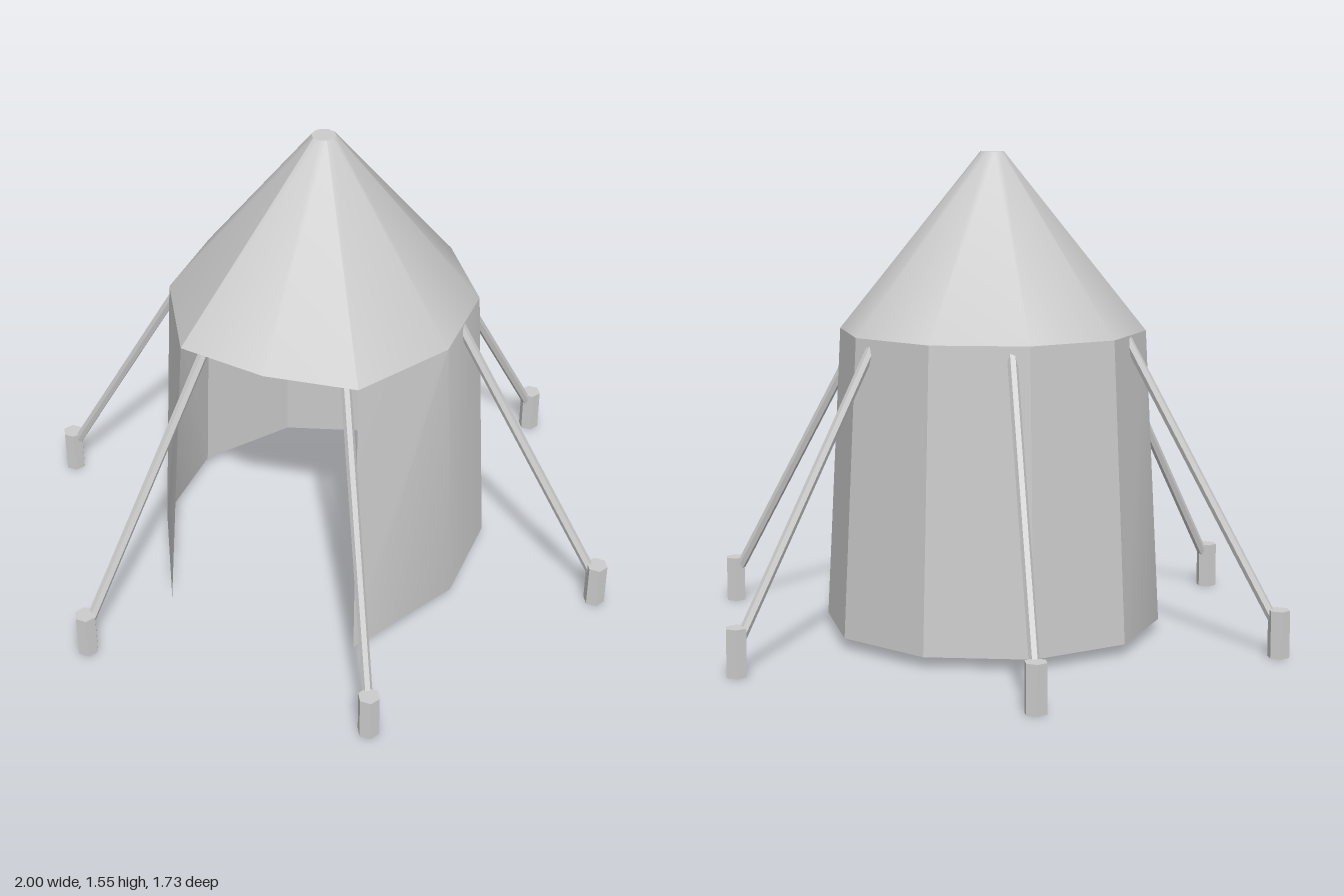
import * as THREE from 'three';
import { toCreasedNormals } from 'three/addons/utils/BufferGeometryUtils.js';

const canvas = new THREE.MeshStandardMaterial({ color: 0xcccccc, side: THREE.DoubleSide });
const solid = new THREE.MeshStandardMaterial({ color: 0xcccccc, flatShading: true });

// Ten-sided ring of points, starting at the front and running by +x to the back.
// The front corners are pulled forward to form the doorway.
function ring(radius, y, cornerZ, frontZ) {
  return Array.from({ length: 10 }, (_, i) => {
    const a = i * Math.PI / 5;
    const p = new THREE.Vector3(radius * Math.sin(a), y, radius * Math.cos(a));
    if (i === 1 || i === 9) p.z = cornerZ ?? p.z;
    if (i === 0) p.z = frontZ ?? p.z;
    return p;
  });
}

// Panels between two rings, over the sides from first up to last
function panels(lower, upper, first, last) {
  const pos = [];
  for (let side = first; side < last; side++) {
    const i = side % 10;
    const j = (side + 1) % 10;
    for (const p of [lower[i], lower[j], upper[j], lower[i], upper[j], upper[i]]) pos.push(p.x, p.y, p.z);
  }
  const geometry = new THREE.BufferGeometry();
  geometry.setAttribute('position', new THREE.Float32BufferAttribute(pos, 3));
  return toCreasedNormals(geometry, Math.PI / 6);
}

function addMesh(parent, name, geometry, material) {
  const mesh = new THREE.Mesh(geometry, material);
  mesh.name = name;
  parent.add(mesh);
  return mesh;
}

// Straight six-sided pole between two points
function addPole(parent, from, to) {
  const dir = to.clone().sub(from);
  const pole = addMesh(parent, 'guyPole', new THREE.CylinderGeometry(0.016, 0.016, dir.length(), 6), solid);
  pole.position.copy(from).add(to).multiplyScalar(0.5);
  pole.quaternion.setFromUnitVectors(new THREE.Vector3(0, 1, 0), dir.normalize());
}

export function createModel() {
  const model = new THREE.Group();
  model.name = 'tent';

  const base = ring(0.545, 0.035, 0.545);
  const eaves = ring(0.495, 0.985, 0.45, 0.49);
  const peak = ring(0.038, 1.555);

  // Walls leave the two front sides open as the doorway
  addMesh(model, 'walls', panels(base, eaves, 1, 9), canvas);

  // Roof, with the front panels overhanging the doorway
  addMesh(model, 'roof', panels(eaves, peak, 1, 9), canvas);
  addMesh(model, 'doorCanopy', panels(eaves, peak, 9, 11), canvas);
  const cap = addMesh(model, 'roofCap', new THREE.CircleGeometry(0.038, 10, Math.PI / 10), canvas);
  cap.rotation.x = -Math.PI / 2;
  cap.position.y = 1.555;

  // Six stakes, each with a pole leaning up to the eaves
  const stakeGeometry = new THREE.CylinderGeometry(0.035, 0.035, 0.15, 6, 1, false, Math.PI / 6);
  for (let i = 0; i < 6; i++) {
    const a = i * Math.PI / 3;
    const at = (r, y) => new THREE.Vector3(r * Math.cos(a), y, r * Math.sin(a));
    const support = new THREE.Group();
    support.name = 'support';
    addMesh(support, 'stake', stakeGeometry, solid).position.copy(at(0.965, 0.075));
    addPole(support, at(0.945, 0.12), at(0.455, 0.98));
    model.add(support);
  }
  return model;
}
